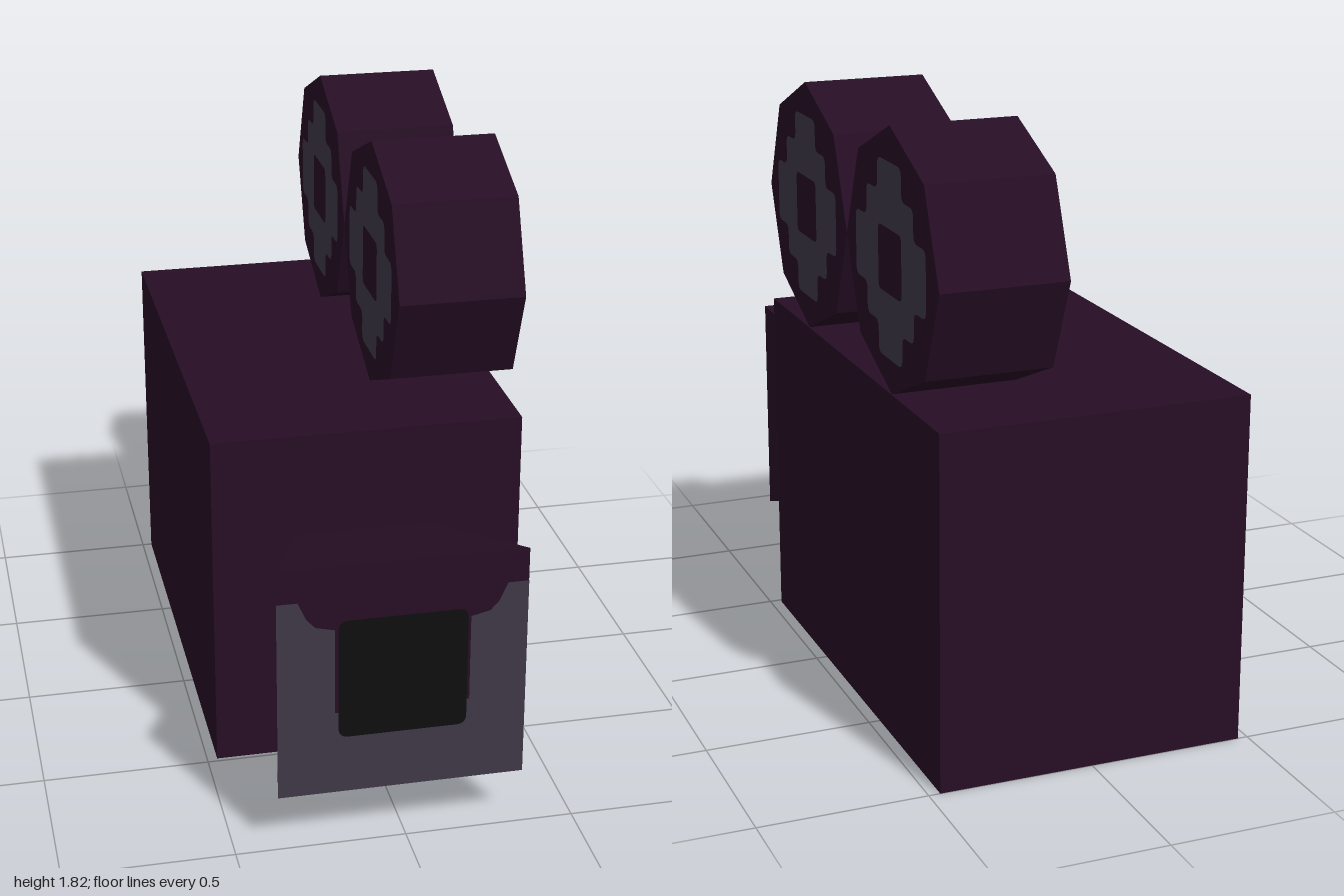
import * as THREE from 'three';

const material = (name, color) => new THREE.MeshStandardMaterial({ name, color, flatShading: true });

// Closed shape with every corner slightly rounded, to match the soft-stepped panels
function softPath(points, r, path = new THREE.Shape()) {
  const v = points.map(([x, y]) => new THREE.Vector2(x, y));
  const n = v.length;
  v.forEach((p, i) => {
    const toward = (q) => p.clone().add(q.clone().sub(p).setLength(r));
    const a = toward(v[(i + n - 1) % n]);
    const b = toward(v[(i + 1) % n]);
    if (i === 0) path.moveTo(a.x, a.y);
    else path.lineTo(a.x, a.y);
    path.quadraticCurveTo(p.x, p.y, b.x, b.y);
  });
  path.closePath();
  return path;
}

const square = (h) => [[-h, -h], [h, -h], [h, h], [-h, h]];

export function createModel() {
  const plum = material('dark plum', 0x260e24);
  const grey = material('slate grey', 0x403848);
  const black = material('lens black', 0x0e0e0e);

  const model = new THREE.Group();
  model.name = 'movieCamera';
  const add = (name, geometry, mat, parent = model) => {
    const mesh = new THREE.Mesh(geometry, mat);
    mesh.name = name;
    parent.add(mesh);
    return mesh;
  };

  // Camera body
  add('body', new THREE.BoxGeometry(0.935, 1.057, 1.486), plum).position.set(-0.002, 0.5285, -0.257);

  // Flared square lens hood
  const hood = new THREE.CylinderGeometry(0.36 * Math.SQRT2, 0.208 * Math.SQRT2, 0.514, 4);
  hood.rotateY(Math.PI / 4).rotateX(Math.PI / 2);
  add('lensHood', hood, plum).position.set(-0.015, 0.53, 0.739);

  // Painted hood front: grey surround with a dark stepped upper edge
  const right = [[0.36, 0.26], [0.3, 0.26], [0.275, 0.205], [0.25, 0.178], [0.195, 0.165], [0.195, -0.1]];
  const left = right.map(([x, y]) => [-x, y]).reverse();
  const surround = new THREE.Shape([[-0.36, -0.36], [0.36, -0.36], ...right, ...left]
    .map(([x, y]) => new THREE.Vector2(x, y)));
  add('hoodSurround', new THREE.ShapeGeometry(surround), grey).position.set(-0.015, 0.53, 0.998);
  add('lens', new THREE.ShapeGeometry(softPath(square(0.186), 0.03)), black)
    .position.set(-0.014, 0.536, 1);

  // Stepped ring painted on both faces of each reel
  const [a, b, c] = [0.096, 0.188, 0.281];
  const quarter = [[c, a], [b, a], [b, b], [a, b], [a, c]];
  const steps = [];
  for (let k = 0; k < 4; k++) {
    let q = quarter;
    for (let i = 0; i < k; i++) q = q.map(([x, y]) => [-y, x]);
    steps.push(...q);
  }
  const ring = softPath(steps, 0.027);
  ring.holes.push(softPath(square(0.093), 0.02, new THREE.Path()));
  const ringGeometry = new THREE.ShapeGeometry(ring, 4);

  // Two octagonal film reels
  const reelGeometry = new THREE.CylinderGeometry(0.372, 0.372, 0.376, 8);
  reelGeometry.rotateZ(Math.PI / 2).scale(1, 1.025, 1);
  [['frontReel', 0.118], ['rearReel', -0.626]].forEach(([name, z]) => {
    const reel = new THREE.Group();
    reel.name = name;
    reel.position.set(0.275, 1.438, z);
    model.add(reel);
    add('reelDrum', reelGeometry, plum, reel);
    for (const side of [1, -1]) {
      const plate = add('reelRing', ringGeometry, grey, reel);
      plate.position.x = side * 0.191;
      plate.rotation.y = side * Math.PI / 2;
    }
  });

  return model;
}
